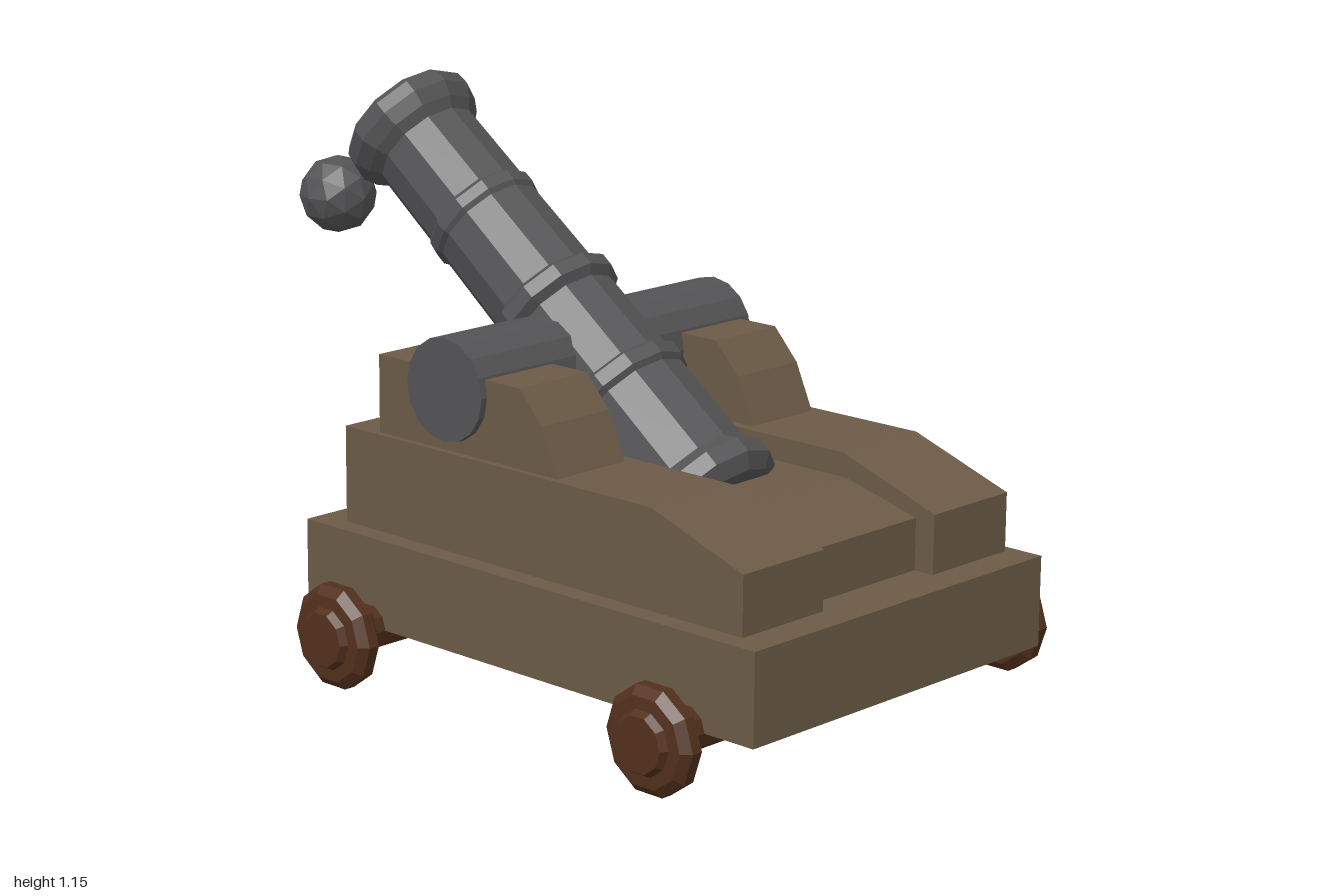
import * as THREE from 'three';

const material = (color) => new THREE.MeshStandardMaterial({ color, flatShading: true });

export function createModel() {
  const group = new THREE.Group();
  const wood = material(0x6b5a46);
  const iron = material(0x535355);
  const darkWood = material(0x52301c);

  const add = (name, geometry, mat, x = 0, y = 0, z = 0) => {
    const mesh = new THREE.Mesh(geometry, mat);
    mesh.name = name;
    mesh.position.set(x, y, z);
    group.add(mesh);
    return mesh;
  };

  // Side profile given as [z, y] corners, spanning x0 to x1
  const slab = (name, profile, x0, x1) => {
    const shape = new THREE.Shape(profile.map(([z, y]) => new THREE.Vector2(-z, y)));
    const geometry = new THREE.ExtrudeGeometry(shape, { depth: x1 - x0, bevelEnabled: false });
    add(name, geometry.rotateY(Math.PI / 2), wood, x0);
  };

  const lathe = (points, sides) =>
    new THREE.LatheGeometry(points.map(([r, y]) => new THREE.Vector2(r, y)), sides);

  // Carriage: base plank, two stepped cheeks and the block under the breech
  slab('base', [[1, 0.11], [1, 0.295], [-0.21, 0.295], [-0.21, 0.11]], -0.425, 0.42);
  const cheek = [[0.93, 0.29], [0.93, 0.415], [0.7, 0.495], [-0.14, 0.495], [-0.14, 0.29]];
  slab('rightCheek', cheek, -0.38, -0.155);
  slab('leftCheek', cheek, 0.17, 0.395);
  const bracket = [[0.445, 0.49], [0.4, 0.59], [0.34, 0.655], [-0.055, 0.655], [-0.055, 0.49]];
  slab('rightTrunnionBracket', bracket, -0.365, -0.18);
  slab('leftTrunnionBracket', bracket, 0.195, 0.375);
  slab('breechBlock',
    [[0.885, 0.29], [0.885, 0.4], [0.71, 0.445], [0.45, 0.445], [0.45, 0.29]], -0.155, 0.17);

  // Barrel: turned from breech to muzzle, then back down the bore
  const barrel = add('barrel', lathe([
    [0, -1.15], [0.045, -1.15], [0.05, -1.13], [0.125, -1.125],
    [0.153, -1.1], [0.153, -1.065], [0.132, -1.04],
    [0.13, -0.83], [0.141, -0.82], [0.141, -0.79], [0.128, -0.78],
    [0.125, -0.59], [0.143, -0.575], [0.143, -0.545], [0.122, -0.53],
    [0.119, -0.325], [0.126, -0.315], [0.126, -0.29], [0.118, -0.28],
    [0.116, -0.095], [0.134, -0.075], [0.149, -0.045], [0.147, -0.015], [0.135, 0],
    [0.112, 0], [0.1, -0.04], [0.098, -0.45], [0, -0.45],
  ], 12), iron, 0, 1.05, -0.37);
  barrel.rotation.x = -Math.atan2(0.8, 0.6);

  // Trunnion across the barrel
  const trunnion = new THREE.CylinderGeometry(0.105, 0.105, 0.78, 16).rotateZ(Math.PI / 2);
  add('trunnion', trunnion, iron, 0.01, 0.62, 0.147);

  // Axles with a wheel at each end
  const wheel = lathe([
    [0, 0.46], [0.06, 0.46], [0.065, 0.482], [0.09, 0.484], [0.108, 0.5],
    [0.108, 0.524], [0.09, 0.54], [0.065, 0.542], [0.056, 0.557], [0, 0.557],
  ], 10);
  for (const [end, z] of [['front', 0.835], ['rear', -0.025]]) {
    const axle = new THREE.CylinderGeometry(0.046, 0.046, 0.96, 10).rotateZ(Math.PI / 2);
    add(end + 'Axle', axle, darkWood, 0, 0.11, z);
    for (const [side, sign] of [['Left', 1], ['Right', -1]]) {
      add(end + side + 'Wheel', wheel, darkWood, 0, 0.11, z).rotation.z = -sign * Math.PI / 2;
    }
  }

  // Cannonball in flight
  add('cannonball', new THREE.IcosahedronGeometry(0.089, 1), iron, 0.298, 0.77, -0.91);

  return group;
}
